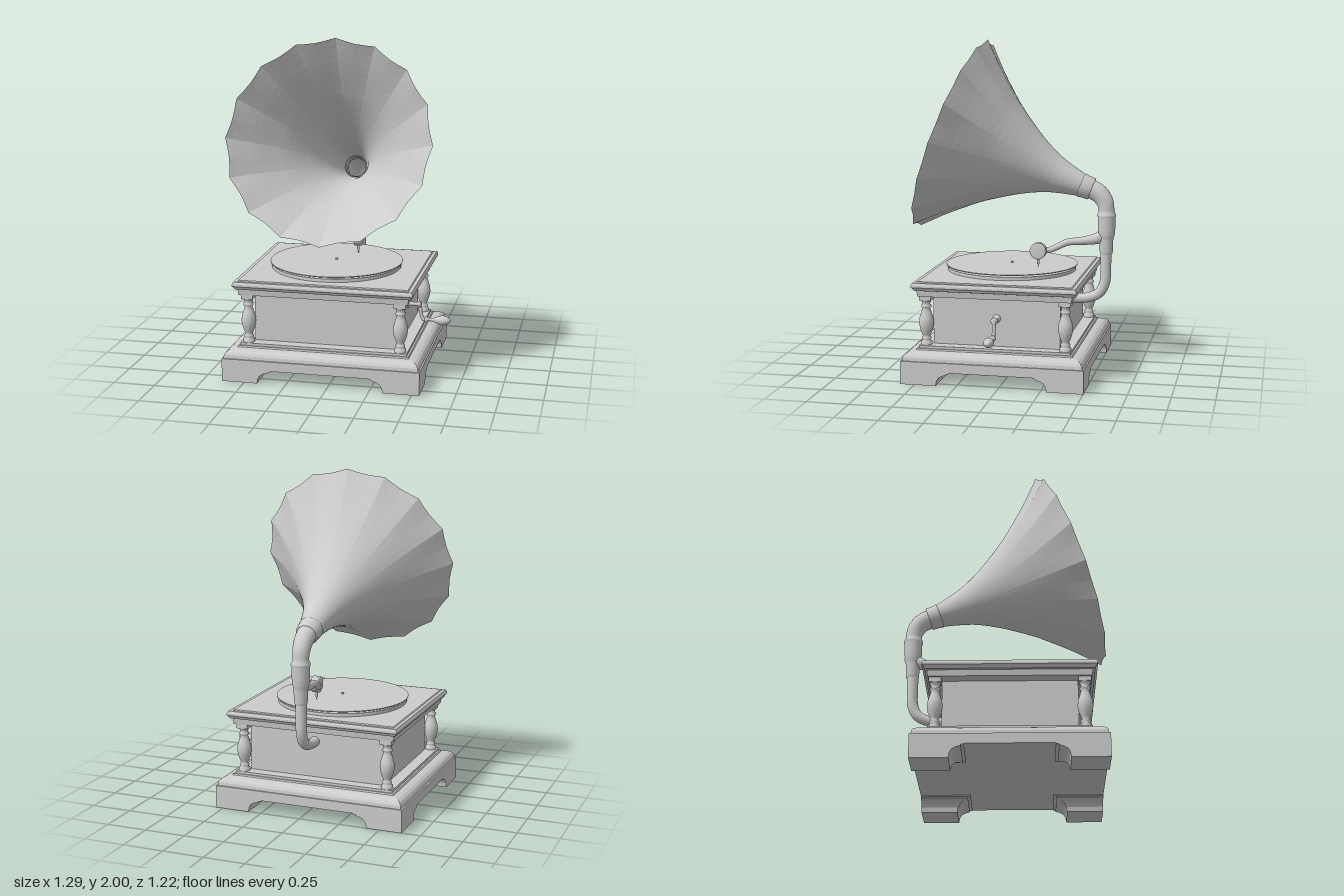
import * as THREE from 'three';

const CX = -0.045, CZ = 0.042; // cabinet centre
const HX = -0.034;             // horn and pipe plane

const grey = new THREE.MeshStandardMaterial({ color: 0xcccccc, side: THREE.DoubleSide });
grey.name = 'plain grey';

const V = (x, y, z) => new THREE.Vector3(x, y, z);

function add(parent, name, geometry, x = 0, y = 0, z = 0) {
  const mesh = new THREE.Mesh(geometry, grey);
  mesh.name = name;
  mesh.position.set(x, y, z);
  parent.add(mesh);
  return mesh;
}

// Faceted solid through stacked rectangles [x0, x1, z0, z1, y], bottom to top
function loft(rings) {
  const pos = [];
  const rows = rings.map(([x0, x1, z0, z1, y]) => [[x0, y, z0], [x1, y, z0], [x1, y, z1], [x0, y, z1]]);
  const quad = (a, b, c, d) => [a, b, c, a, c, d].forEach((p) => pos.push(...p));
  for (let r = 0; r < rows.length - 1; r++) {
    for (let i = 0; i < 4; i++) {
      const j = (i + 1) % 4;
      quad(rows[r][i], rows[r + 1][i], rows[r + 1][j], rows[r][j]);
    }
  }
  quad(...rows[0]);
  const t = rows[rows.length - 1];
  quad(t[0], t[3], t[2], t[1]);
  const g = new THREE.BufferGeometry();
  g.setAttribute('position', new THREE.Float32BufferAttribute(pos, 3));
  g.computeVertexNormals();
  return g;
}

// Rectangular moulding about the cabinet centre from [half width, y]
const moulding = (profile) => loft(profile.map(([h, y]) =>
  [CX - h, CX + h, CZ - h + 0.047, CZ + h - 0.047, y]));

const lathe = (profile, segments = 24) =>
  new THREE.LatheGeometry(profile.map(([r, y]) => new THREE.Vector2(r, y)), segments);

// Round tube whose radius runs through the listed values
function taperedTube(points, radii, steps = 32, sides = 20) {
  const curve = new THREE.CatmullRomCurve3(points);
  const g = new THREE.TubeGeometry(curve, steps, 1, sides);
  const p = g.attributes.position, v = V(0, 0, 0);
  for (let i = 0; i < p.count; i++) {
    const t = Math.floor(i / (sides + 1)) / steps;
    const f = t * (radii.length - 1), k = Math.min(Math.floor(f), radii.length - 2);
    const r = THREE.MathUtils.lerp(radii[k], radii[k + 1], f - k);
    const c = curve.getPointAt(t);
    v.fromBufferAttribute(p, i).sub(c).multiplyScalar(r).add(c);
    p.setXYZ(i, v.x, v.y, v.z);
  }
  return g;
}

function buildCabinet(parent) {
  add(parent, 'baseBoard', moulding([[0.591, 0.08], [0.591, 0.138]]));
  add(parent, 'baseMoulding', moulding([[0.582, 0.138], [0.58, 0.158], [0.571, 0.173],
    [0.555, 0.184], [0.535, 0.19], [0.515, 0.192], [0.51, 0.2], [0.5, 0.2], [0.5, 0.215]]));
  add(parent, 'cabinetBody', moulding([[0.428, 0.21], [0.428, 0.52]]));
  add(parent, 'lid', moulding([[0.505, 0.51], [0.51, 0.545], [0.522, 0.548], [0.53, 0.562],
    [0.537, 0.568], [0.537, 0.58], [0.53, 0.594], [0.51, 0.594], [0.505, 0.6]]));

  // Feet with coved inner sides, and a turned column over each
  const foot = [[0.215, 0], [0.22, 0.028], [0.232, 0.048], [0.252, 0.06], [0.28, 0.068],
    [0.28, 0.074], [0.297, 0.076], [0.297, 0.082]];
  const column = [[0.034, 0], [0.034, 0.018], [0.024, 0.024], [0.028, 0.034], [0.028, 0.042],
    [0.02, 0.048], [0.026, 0.062], [0.038, 0.095], [0.044, 0.13], [0.04, 0.162], [0.028, 0.2],
    [0.022, 0.22], [0.03, 0.226], [0.03, 0.236], [0.022, 0.242], [0.026, 0.258], [0.034, 0.268]];
  for (const sx of [-1, 1]) {
    for (const sz of [-1, 1]) {
      const ox = CX + sx * 0.591, oz = CZ + sz * 0.544;
      add(parent, 'foot', loft(foot.map(([w, y]) => {
        const ix = ox - sx * w, iz = oz - sz * w;
        return [Math.min(ox, ix), Math.max(ox, ix), Math.min(oz, iz), Math.max(oz, iz), y];
      })));
      const x = CX + sx * 0.457, z = CZ + sz * 0.417;
      add(parent, 'column', lathe(column), x, 0.215, z);
      add(parent, 'columnCap', new THREE.BoxGeometry(0.07, 0.03, 0.07), x, 0.498, z);
    }
  }
}

function buildTurntable(parent) {
  const x = -0.062, z = 0.04;
  add(parent, 'platter', new THREE.CylinderGeometry(0.395, 0.395, 0.022, 64), x, 0.609, z);
  add(parent, 'platterHub', new THREE.CylinderGeometry(0.1, 0.1, 0.02, 32), x, 0.623, z);
  add(parent, 'record', new THREE.CylinderGeometry(0.404, 0.404, 0.005, 64), x, 0.633, z);
  add(parent, 'spindle', new THREE.CylinderGeometry(0.008, 0.008, 0.02, 12), x, 0.634, z);
}

function buildHorn(parent) {
  const tilt = Math.acos(0.3502);
  const curve = new THREE.SplineCurve([[0.063, 0], [0.084, 0.1], [0.123, 0.232], [0.197, 0.38],
    [0.305, 0.545], [0.39, 0.65], [0.492, 0.765], [0.612, 0.884]].map((p) => new THREE.Vector2(...p)));
  let g = new THREE.LatheGeometry(curve.getPoints(22), 64);
  // Sixteen flutes that deepen towards the mouth
  const p = g.attributes.position;
  for (let i = 0; i < p.count; i++) {
    const x = p.getX(i), y = p.getY(i), z = p.getZ(i);
    const s = 1 - 0.036 * Math.pow(y / 0.884, 4) * Math.abs(Math.sin(8 * Math.atan2(x, z)));
    p.setXYZ(i, x * s, y, z * s);
  }
  g = g.toNonIndexed();
  g.computeVertexNormals();
  add(parent, 'horn', g, HX, 1.118, -0.4305).rotation.x = tilt;
  add(parent, 'hornCollar', lathe([[0.058, -0.03], [0.068, -0.026], [0.07, 0.022], [0.074, 0.028],
    [0.074, 0.038], [0.066, 0.042]], 32), HX, 1.118, -0.4305).rotation.x = tilt;
}

function buildPipe(parent) {
  add(parent, 'elbow', taperedTube([V(HX, 1.123, -0.415), V(HX, 1.108, -0.455), V(HX, 1.078, -0.505),
    V(HX, 1.03, -0.538), V(HX, 0.98, -0.547), V(HX, 0.93, -0.549)], [0.058, 0.058, 0.054, 0.048, 0.047]));
  add(parent, 'pipeJoint', lathe([[0.034, 0.715], [0.04, 0.73], [0.041, 0.8], [0.045, 0.82],
    [0.05, 0.835], [0.05, 0.86], [0.053, 0.87], [0.053, 0.94], [0.057, 0.946], [0.057, 0.958],
    [0.05, 0.965], [0.047, 0.985]], 28), HX, 0, -0.548);
  add(parent, 'lowerPipe', taperedTube([V(HX, 0.75, -0.545), V(HX, 0.64, -0.545), V(HX, 0.54, -0.54),
    V(HX, 0.475, -0.508), V(HX, 0.445, -0.45), V(HX, 0.435, -0.38), V(HX, 0.435, -0.33)],
  [0.034, 0.033, 0.032, 0.03, 0.03]));
}

function buildToneArm(parent) {
  const x = 0.035, y = 0.732, z = -0.142;
  add(parent, 'toneArm', taperedTube([V(HX, 0.84, -0.55), V(HX, 0.808, -0.49), V(-0.03, 0.792, -0.41),
    V(-0.022, 0.78, -0.31), V(-0.012, 0.752, -0.25), V(-0.002, 0.733, -0.205), V(0.02, 0.732, -0.16)],
  [0.042, 0.032, 0.024, 0.021, 0.019, 0.018]));
  add(parent, 'soundBox', lathe([[0, -0.025], [0.042, -0.025], [0.05, -0.02], [0.05, -0.008], [0.045, -0.004],
    [0.045, 0.006], [0.05, 0.01], [0.05, 0.02], [0.042, 0.025], [0, 0.025]], 32), x, y, z).rotation.z = Math.PI / 2;
  add(parent, 'needleHolder', new THREE.CylinderGeometry(0.009, 0.007, 0.04, 12), x, 0.672, z);
  add(parent, 'needle', new THREE.CylinderGeometry(0.004, 0.002, 0.025, 8), x, 0.647, z);
}

function buildCrank(parent) {
  const z = 0.04, side = -Math.PI / 2;
  add(parent, 'crankShaft', lathe([[0.024, 0], [0.024, 0.01], [0.012, 0.014], [0.012, 0.065],
    [0.02, 0.068], [0.02, 0.085], [0, 0.087]]), 0.378, 0.382, z).rotation.z = side;
  add(parent, 'crankArm', taperedTube([V(0.455, 0.385, z), V(0.46, 0.35, z), V(0.466, 0.315, z),
    V(0.478, 0.29, z), V(0.5, 0.287, z)], [0.014, 0.011, 0.011, 0.012], 16, 12));
  add(parent, 'crankHandle', lathe([[0, 0], [0.018, 0.001], [0.018, 0.014], [0.01, 0.018], [0.01, 0.05],
    [0.014, 0.06], [0.022, 0.078], [0.029, 0.1], [0.03, 0.112], [0.025, 0.132], [0.016, 0.148],
    [0.009, 0.155], [0, 0.157]]), 0.488, 0.288, z).rotation.z = side;
}

export function createModel() {
  const model = new THREE.Group();
  model.name = 'gramophone';
  const parts = { cabinet: buildCabinet, turntable: buildTurntable, hornAssembly: buildHorn,
    pipe: buildPipe, toneArmAssembly: buildToneArm, crank: buildCrank };
  for (const [name, build] of Object.entries(parts)) {
    const group = new THREE.Group();
    group.name = name;
    build(group);
    model.add(group);
  }
  return model;
}
